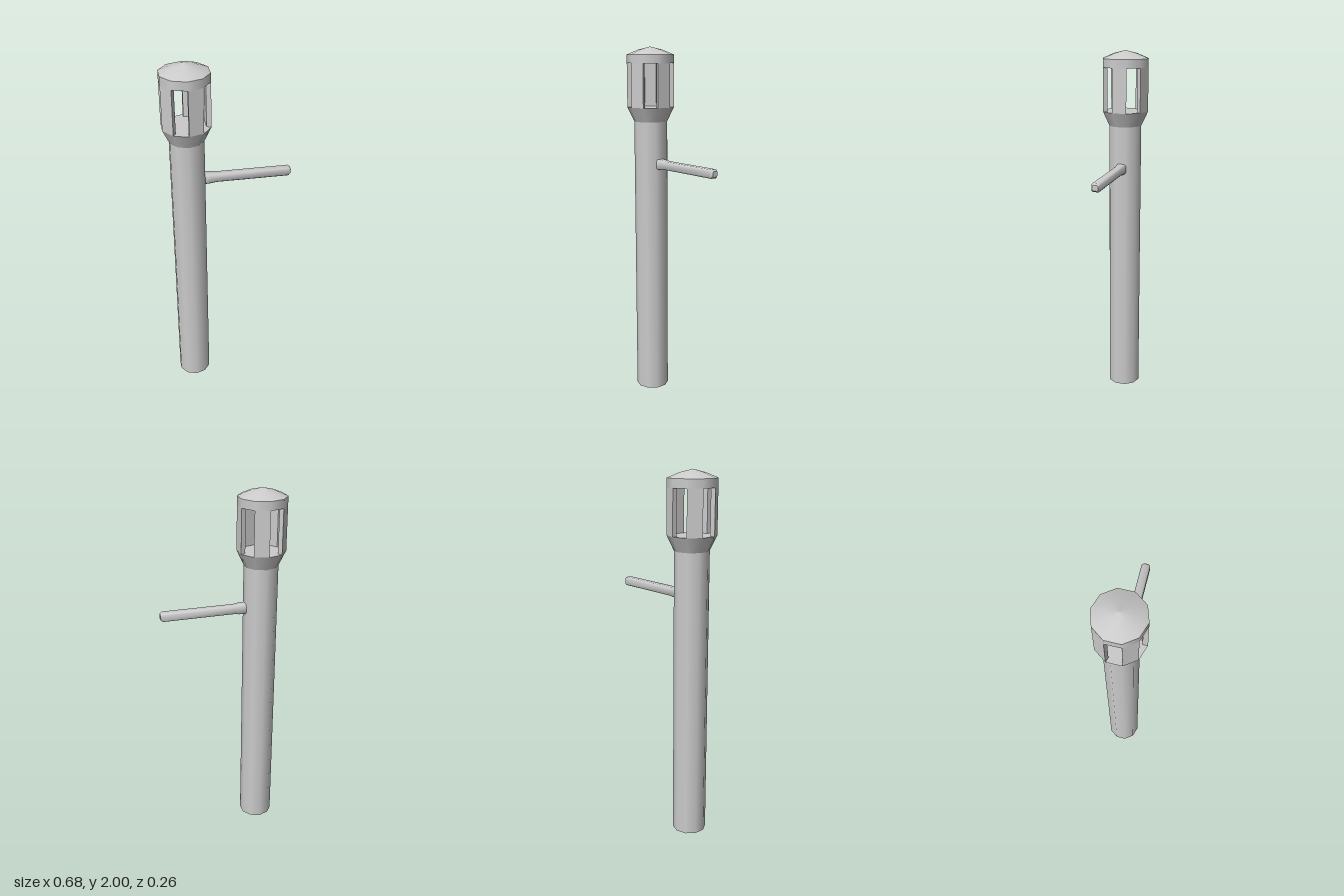
import * as THREE from 'three';
import { toCreasedNormals } from 'three/addons/utils/BufferGeometryUtils.js';

const SIDES = 10, STEP = (Math.PI * 2) / SIDES;
const AXIS_X = -0.216;
const R_SHAFT = 0.093, R_HEAD = 0.131, R_INNER = 0.105;

export function createModel() {
  const model = new THREE.Group();
  const material = new THREE.MeshStandardMaterial({ color: 0xcccccc });

  const add = (name, geometry, x = AXIS_X, y = 0, z = 0, parent = model) => {
    const mesh = new THREE.Mesh(geometry, material);
    mesh.name = name;
    mesh.position.set(x, y, z);
    parent.add(mesh);
    return mesh;
  };
  // Ten-sided drum between two heights
  const drum = (name, rBottom, rTop, y0, y1) =>
    add(name, new THREE.CylinderGeometry(rTop, rBottom, y1 - y0, SIDES), AXIS_X, (y0 + y1) / 2);

  // Tower body
  drum('shaft', R_SHAFT, R_SHAFT, 0, 1.59);
  drum('collar', R_SHAFT, R_HEAD, 1.59, 1.67);

  // Lantern head: five wall panels alternating with five open windows
  const panels = new THREE.Group();
  panels.name = 'windowPanels';
  model.add(panels);
  for (let k = 0; k < SIDES; k += 2) {
    const corner = (r, a) => new THREE.Vector2(r * Math.sin(a), -r * Math.cos(a));
    const a = k * STEP, b = a + STEP;
    const footprint = new THREE.Shape([corner(R_INNER, a), corner(R_HEAD, a), corner(R_HEAD, b), corner(R_INNER, b)]);
    const panel = new THREE.ExtrudeGeometry(footprint, { depth: 0.24, bevelEnabled: false });
    panel.rotateX(-Math.PI / 2);
    add('windowPanel', panel, AXIS_X, 1.67, 0, panels);
  }
  drum('lintel', R_HEAD, R_HEAD, 1.91, 1.957);

  // Shallow cap
  const capProfile = [[R_HEAD, 1.957], [0.068, 1.983], [0, 2]].map(p => new THREE.Vector2(...p));
  add('cap', new THREE.LatheGeometry(capProfile, SIDES));

  // Side arm: chamfered square bar with a flared root and bevelled tip
  add('sideArm', armGeometry([[-0.14, 0.029], [-0.09, 0.0265], [-0.065, 0.0235], [0.328, 0.0235], [0.34, 0.015]]), 0, 1.355, -0.0015);

  return model;
}

// Lofts a chamfered square section along x; each station is [x, half width]
function armGeometry(stations) {
  const section = [[1, -0.68], [1, 0.68], [0.68, 1], [-0.68, 1], [-1, 0.68], [-1, -0.68], [-0.68, -1], [0.68, -1]];
  const n = section.length, positions = [], index = [];
  for (const [x, h] of stations) for (const [y, z] of section) positions.push(x, y * h, z * h);
  for (let s = 0; s < stations.length - 1; s++) {
    for (let i = 0; i < n; i++) {
      const a = s * n + i, b = s * n + (i + 1) % n;
      index.push(a, b, a + n, b, b + n, a + n);
    }
  }
  // End faces
  const last = (stations.length - 1) * n;
  for (let i = 1; i < n - 1; i++) {
    index.push(0, i + 1, i, last, last + i, last + i + 1);
  }
  const geometry = new THREE.BufferGeometry();
  geometry.setAttribute('position', new THREE.Float32BufferAttribute(positions, 3));
  geometry.setIndex(index);
  return toCreasedNormals(geometry, 0.85);
}
